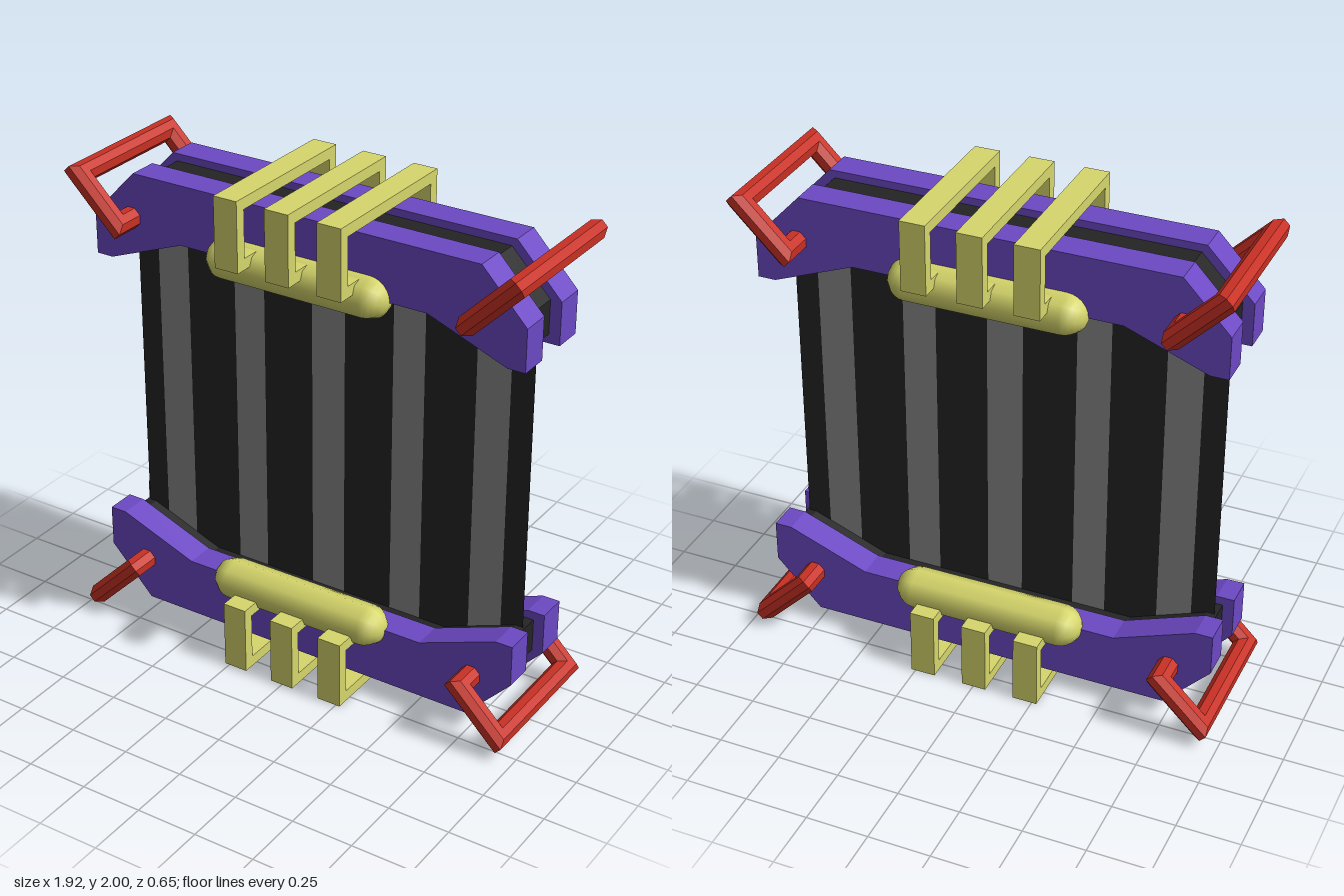
import * as THREE from 'three';

const mat = (name, color, extra = {}) => {
  const m = new THREE.MeshStandardMaterial({ color, ...extra });
  m.name = name;
  return m;
};

// Octagonal bar swept along a right-angled path of [x, z] points, with mitred corners
function sweepBar(path, r, sides = 8) {
  const pos = [], idx = [], n = path.length;
  const normal = (a, b) => {
    const dx = b[0] - a[0], dz = b[1] - a[1], l = Math.hypot(dx, dz);
    return [dz / l, -dx / l];
  };
  path.forEach((p, i) => {
    const a = i > 0 ? normal(path[i - 1], p) : null;
    const b = i < n - 1 ? normal(p, path[i + 1]) : null;
    const m = a && b ? [a[0] + b[0], a[1] + b[1]] : a || b;
    for (let j = 0; j < sides; j++) {
      const t = ((j + 0.5) / sides) * Math.PI * 2, c = Math.cos(t) * r;
      pos.push(p[0] + m[0] * c, Math.sin(t) * r, p[1] + m[1] * c);
    }
  });
  for (let i = 0; i < n - 1; i++) {
    for (let j = 0; j < sides; j++) {
      const k = (j + 1) % sides, a = i * sides, b = a + sides;
      idx.push(a + j, a + k, b + k, a + j, b + k, b + j);
    }
  }
  const last = (n - 1) * sides;
  for (let j = 1; j < sides - 1; j++) {
    idx.push(0, j + 1, j, last, last + j, last + j + 1);
  }
  const g = new THREE.BufferGeometry();
  g.setAttribute('position', new THREE.Float32BufferAttribute(pos, 3));
  g.setIndex(idx);
  const flat = g.toNonIndexed();
  flat.computeVertexNormals();
  return flat;
}

export function createModel() {
  const root = new THREE.Group();
  root.name = 'framedPanel';
  const purple = mat('purple', 0x6c48c4);
  const dark = mat('dark', 0x242424);
  const darkCloth = mat('darkPanel', 0x242424, { side: THREE.DoubleSide });
  const greyCloth = mat('greyPanel', 0x888888, { side: THREE.DoubleSide });
  const yellow = mat('yellow', 0xd6d66c);
  const red = mat('red', 0xc83024);

  const add = (name, geo, material, x = 0, y = 0, z = 0, parent = root) => {
    const m = new THREE.Mesh(geo, material);
    m.name = name;
    m.position.set(x, y, z);
    parent.add(m);
    return m;
  };

  // Striped panel: paper-thin strips side by side
  const edges = [-0.87, -0.775, -0.635, -0.42, -0.285, -0.07, 0.075, 0.285, 0.42, 0.635, 0.775, 0.87];
  for (let i = 0; i < edges.length - 1; i++) {
    const a = edges[i], b = edges[i + 1];
    const g = new THREE.PlaneGeometry(b - a, 1.44);
    add(i % 2 ? 'greyStripe' : 'darkStripe', g, i % 2 ? greyCloth : darkCloth, (a + b) / 2, 1, -0.005);
  }

  // Right half of each rail outline, mirrored in x
  const plateHalf = [[0.53, 1.69], [0.855, 1.565], [0.925, 1.565], [0.925, 1.735], [0.74, 1.93]];
  const coreHalf = [[0.53, 1.72], [0.84, 1.6], [0.88, 1.6], [0.88, 1.735], [0.72, 1.9]];
  const rail = (half, flip, depth) => {
    const left = half.map(([x, y]) => [-x, y]).reverse();
    const pts = [...half, ...left].map(([x, y]) => new THREE.Vector2(x, flip(y)));
    return new THREE.ExtrudeGeometry(new THREE.Shape(pts), { depth, bevelEnabled: false });
  };

  // Top and bottom rails with their grips and staples
  for (const top of [true, false]) {
    const flip = (y) => (top ? y : 2 - y);
    const side = new THREE.Group();
    side.name = top ? 'topRail' : 'bottomRail';
    root.add(side);

    add('railCore', rail(coreHalf, flip, 0.13), dark, 0, 0, -0.07, side);
    const plate = rail(plateHalf, flip, 0.12);
    add('frontPlate', plate, purple, 0, 0, 0.06, side);
    add('backPlate', plate, purple, 0, 0, -0.19, side);

    // Rounded grips on both faces
    const gripGeo = new THREE.CapsuleGeometry(0.083, 0.61, 6, 8);
    for (const z of [0.178, -0.19]) {
      add('grip', gripGeo, yellow, -0.01, flip(1.693), z, side).rotation.z = Math.PI / 2;
    }

    // Three square staples wrapping over the rail
    for (const x of [-0.22, -0.002, 0.217]) {
      const staple = new THREE.Group();
      staple.name = 'staple';
      side.add(staple);
      add('stapleBridge', new THREE.BoxGeometry(0.1, 0.045, 0.65), yellow, x, flip(1.9775), 0, staple);
      for (const s of [1, -1]) {
        add('stapleLeg', new THREE.BoxGeometry(0.1, 0.235, 0.045), yellow, x, flip(1.8375), s * 0.3025, staple);
        add('stapleFoot', new THREE.BoxGeometry(0.1, 0.045, 0.11), yellow, x, flip(1.7425), s * 0.225, staple);
      }
    }
  }

  // Corner clamps: C-shaped octagonal bars set on the diagonals
  const clampGeo = sweepBar([
    [-0.118, 0.16], [-0.118, 0.275], [0.118, 0.275],
    [0.118, -0.275], [-0.118, -0.275], [-0.118, -0.16],
  ], 0.043);
  for (const sx of [1, -1]) {
    for (const sy of [1, -1]) {
      const clamp = add('cornerClamp', clampGeo, red, sx * 0.838, 1 + sy * 0.835, -0.008);
      clamp.rotation.z = Math.atan2(sy, sx);
    }
  }
  return root;
}
